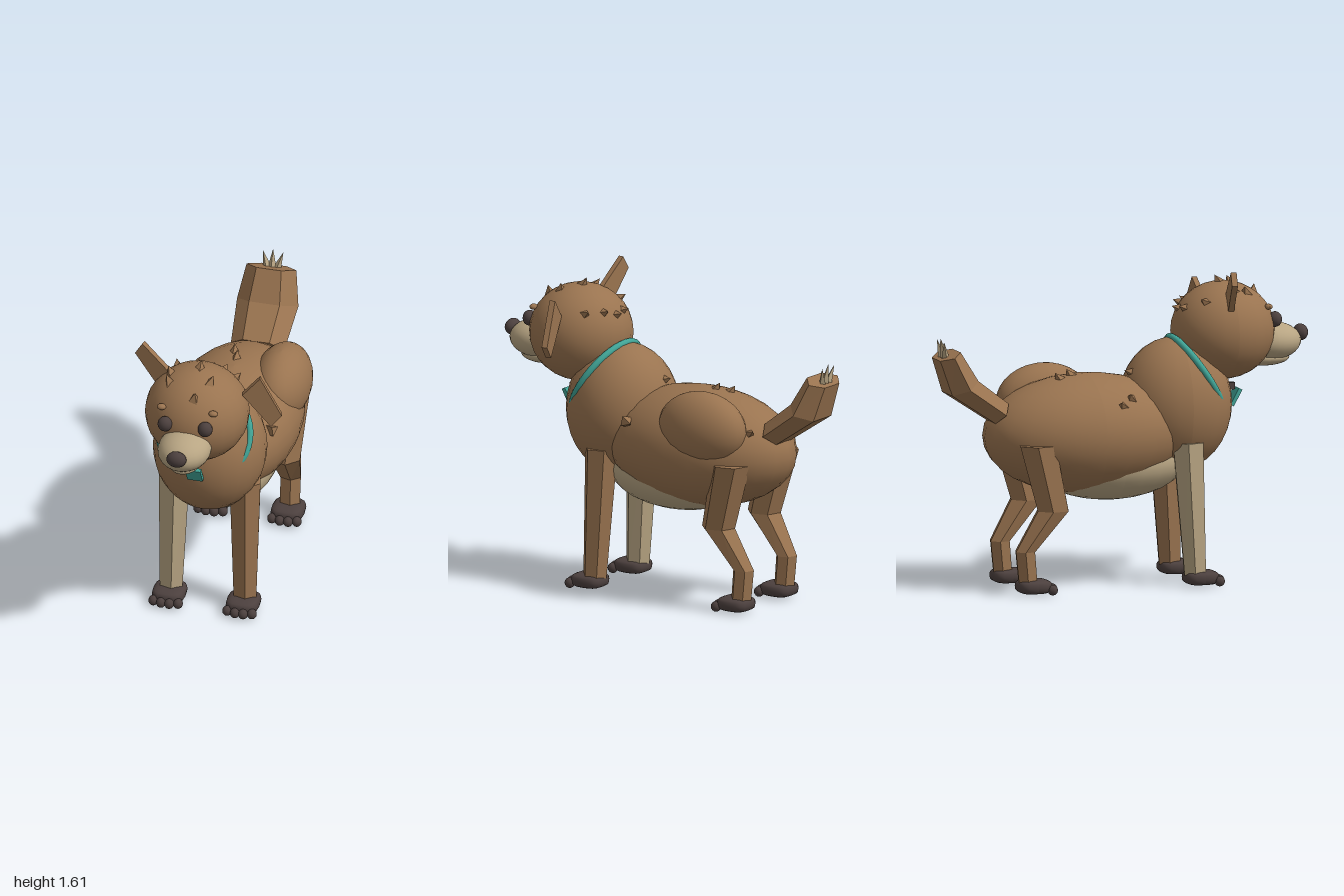
import * as THREE from 'three';

const CX = -0.04; // the body's midline

export function createModel() {
  const dog = new THREE.Group();
  dog.name = 'dog';
  const paint = (name, color) => {
    const m = new THREE.MeshStandardMaterial({ color });
    m.name = name;
    return m;
  };
  const fur = paint('brownFur', 0x9a7450);
  const cream = paint('creamFur', 0xb8a583);
  const dark = paint('darkSkin', 0x4c403e);
  const teal = paint('tealCollar', 0x41a597);

  const add = (name, geometry, material, pos = [0, 0, 0], rot = [0, 0, 0]) => {
    const mesh = new THREE.Mesh(geometry, material);
    mesh.name = name;
    mesh.position.set(...pos);
    mesh.rotation.set(...rot);
    dog.add(mesh);
    return mesh;
  };

  // Ellipsoid; a power below 1 makes it boxier
  const blob = (name, material, pos, radii, power = 1, seg = 24) => {
    const g = new THREE.SphereGeometry(1, seg, Math.round(seg * 0.65));
    const p = g.attributes.position;
    const f = (v) => Math.sign(v) * Math.abs(v) ** power;
    for (let i = 0; i < p.count; i++) {
      p.setXYZ(i, f(p.getX(i)) * radii[0], f(p.getY(i)) * radii[1], f(p.getZ(i)) * radii[2]);
    }
    g.computeVertexNormals();
    return add(name, g, material, pos);
  };

  // Faceted limb through sections [x, y, z, radiusX, radiusV, tilt], bottom to top
  const loft = (sections, sides, turn = 0) => {
    const pts = [];
    const idx = [];
    for (const [x, y, z, rx, rv, t = 0] of sections) {
      for (let k = 0; k < sides; k++) {
        const a = turn + (k / sides) * Math.PI * 2;
        const v = Math.sin(a) * rv;
        pts.push(x + Math.cos(a) * rx, y + v * Math.sin(t), z + v * Math.cos(t));
      }
    }
    const last = (sections.length - 1) * sides;
    for (let s = 0; s < last; s += sides) {
      for (let k = 0; k < sides; k++) {
        const n = (k + 1) % sides;
        idx.push(s + k, s + sides + k, s + n, s + n, s + sides + k, s + sides + n);
      }
    }
    for (let k = 1; k < sides - 1; k++) {
      idx.push(0, k, k + 1, last, last + k + 1, last + k);
    }
    const g = new THREE.BufferGeometry();
    g.setAttribute('position', new THREE.Float32BufferAttribute(pts, 3));
    g.setIndex(idx);
    const flat = g.toNonIndexed();
    flat.computeVertexNormals();
    return flat;
  };

  // Torso
  const body = [[CX, 0.785, -0.19], [0.345, 0.305, 0.54]];
  const chest = [[CX, 0.91, 0.29], [0.29, 0.34, 0.29]];
  const skull = [[CX, 1.275, 0.545], [0.265, 0.25, 0.265]];
  blob('body', fur, ...body);
  blob('chest', fur, ...chest);
  blob('haunch', fur, [0.17, 0.93, -0.34], [0.15, 0.19, 0.25]);
  blob('belly', cream, [CX, 0.63, -0.06], [0.26, 0.19, 0.4]);

  // Head and face
  blob('head', fur, ...skull);
  blob('muzzle', cream, [CX, 1.205, 0.8], [0.135, 0.098, 0.16]);
  blob('lowerJaw', cream, [CX, 1.122, 0.775], [0.085, 0.042, 0.125]);
  blob('nose', dark, [CX, 1.24, 0.963], [0.052, 0.042, 0.037], 1, 16);
  for (const s of [-1, 1]) {
    blob('eye', dark, [CX + s * 0.105, 1.33, 0.79], [0.038, 0.04, 0.035], 1, 16);
    blob('brow', fur, [CX + s * 0.135, 1.4, 0.745], [0.024, 0.015, 0.02], 1, 12);
  }

  // Ears: one raised, one hanging
  const ear = (name, corners, z, yaw) => {
    const [rx, ry] = corners[0];
    const shape = new THREE.Shape(corners.map(([x, y]) => new THREE.Vector2(x - rx, y - ry)));
    const g = new THREE.ExtrudeGeometry(shape, { depth: 0.03, bevelEnabled: false });
    g.translate(0, 0, -0.015);
    add(name, g, fur, [rx, ry, z], [0, yaw, 0]);
  };
  ear('raisedEar', [[-0.19, 1.48], [-0.335, 1.61], [-0.375, 1.545], [-0.26, 1.395]], 0.525, -0.16);
  ear('hangingEar', [[0.19, 1.4], [0.335, 1.215], [0.39, 1.28], [0.28, 1.5]], 0.525, 0.22);

  // Legs and paws
  const paw = (x, z) => {
    blob('paw', dark, [x, 0.045, z], [0.085, 0.037, 0.09], 0.65, 16);
    for (let i = 0; i < 4; i++) {
      const off = i - 1.5;
      blob('toe', dark, [x + off * 0.043, 0.03, z + 0.098 - Math.abs(off) * 0.012],
        [0.025, 0.027, 0.027], 1, 12);
    }
  };
  for (const s of [-1, 1]) {
    const x = CX + s * 0.193;
    add('frontLeg', loft([
      [x, 0.06, 0.33, 0.066, 0.062],
      [CX + s * 0.185, 0.74, 0.295, 0.09, 0.088],
    ], 6, 0.3), s < 0 ? cream : fur);
    add('hindLeg', loft([
      [x, 0.06, -0.565, 0.058, 0.053],
      [x, 0.225, -0.58, 0.06, 0.055],
      [CX + s * 0.205, 0.43, -0.435, 0.085, 0.09],
      [CX + s * 0.218, 0.77, -0.52, 0.1, 0.105],
    ], 6, 0.3), fur);
    paw(x, 0.36);
    paw(x, -0.535);
  }

  // Broad faceted tail with a pale tufted tip
  add('tail', loft([
    [CX, 0.915, -0.66, 0.14, 0.07, 0.95],
    [CX, 1.055, -0.86, 0.16, 0.09, 0.46],
    [CX, 1.22, -0.935, 0.13, 0.067, 0.35],
  ], 6), fur);
  for (let i = -1; i <= 1; i++) {
    add('tailTipTuft', new THREE.ConeGeometry(0.027, 0.12, 4).toNonIndexed(), cream,
      [CX + i * 0.036, 1.25 - Math.abs(i) * 0.01, -0.955], [-0.2, 0, -i * 0.3])
      .geometry.computeVertexNormals();
  }

  // Collar and tag
  add('collar', new THREE.TorusGeometry(0.235, 0.018, 10, 40), teal, [CX, 1.05, 0.4], [-0.56, 0, 0]);
  add('tagLoop', new THREE.BoxGeometry(0.035, 0.035, 0.03), dark, [CX, 0.985, 0.592]);
  add('tag', new THREE.BoxGeometry(0.08, 0.095, 0.02), teal, [CX, 0.93, 0.606], [0.5, 0, 0]);

  // Small fur tufts sitting on an ellipsoid, swept backwards
  const up = new THREE.Vector3(0, 1, 0);
  const tufts = ([c, r], spots) => spots.forEach(([x, z], i) => {
    const dx = (x - c[0]) / r[0];
    const dz = (z - c[2]) / r[2];
    const dy = Math.sqrt(Math.max(0, 1 - dx * dx - dz * dz));
    const normal = new THREE.Vector3(dx / r[0], dy / r[1], dz / r[2]).normalize();
    normal.z -= 0.5;
    normal.normalize();
    const g = new THREE.ConeGeometry(0.036, 0.06, 4).toNonIndexed();
    g.computeVertexNormals();
    const mesh = add('furTuft', g, fur, [x, c[1] + dy * r[1] + 0.006, z]);
    mesh.quaternion.setFromUnitVectors(up, normal);
    mesh.rotateY(i * 1.3);
  });
  tufts(skull, [[-0.09, 0.32], [-0.02, 0.31], [0.05, 0.34], [-0.18, 0.4], [0.13, 0.4],
    [-0.03, 0.52], [-0.18, 0.55], [-0.17, 0.62], [0.05, 0.61], [-0.01, 0.72]]);
  tufts(body, [[-0.08, -0.35], [-0.05, -0.28], [-0.32, -0.09], [-0.28, -0.03], [0.12, -0.6]]);
  tufts(chest, [[0.235, 0.07], [-0.06, 0.04]]);

  return dog;
}
